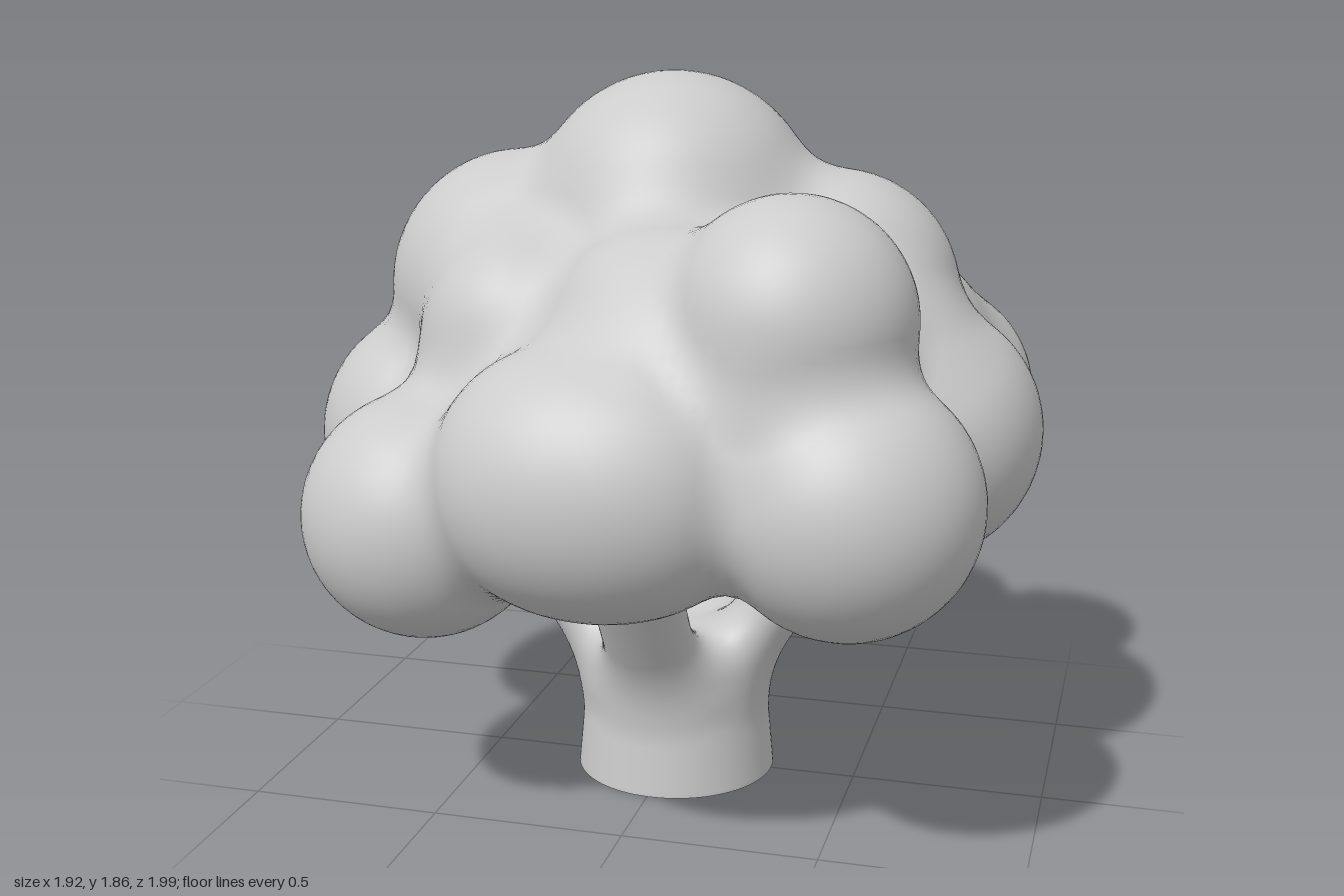
import * as THREE from 'three';

// Foliage lobes: [x, y, z, radius]
const LOBES = [
  // core
  [0, 1.2, 0, 0.45],
  // lower ring: broad lobes on the axes are pairs, corner lobes are single
  [-0.08, 0.97, 0.66, 0.315], [0.08, 0.97, 0.66, 0.315],
  [0.57, 0.94, 0.6, 0.315],
  [0.63, 0.97, -0.07, 0.31], [0.63, 0.97, 0.07, 0.31],
  [0.58, 0.95, -0.54, 0.305],
  [-0.07, 0.95, -0.67, 0.315], [0.09, 0.95, -0.67, 0.315],
  [-0.51, 0.85, -0.53, 0.31],
  [-0.635, 0.9, -0.06, 0.305], [-0.635, 0.9, 0.05, 0.305],
  [-0.485, 0.815, 0.525, 0.305],
  // upper ring
  [0.42, 1.34, 0.52, 0.29],
  [0.41, 1.3, -0.06, 0.32],
  [0, 1.31, -0.48, 0.335],
  [-0.41, 1.3, -0.03, 0.35],
  [0.08, 1.24, 0.4, 0.29],
  // top dome
  [0, 1.49, -0.02, 0.37],
  // fill between the lower and upper rings
  [0.12, 1.15, 0.52, 0.25], [0.38, 1.12, 0.52, 0.28],
  [0.5, 1.15, 0.1, 0.26], [0.5, 1.12, -0.35, 0.27],
  [-0.43, 1.0, -0.43, 0.29], [0, 1.13, -0.55, 0.27],
];
// Soft fill in the inner corners
for (const x of [-1, 1]) {
  for (const z of [-1, 1]) {
    LOBES.push([0.33 * x, 1.0, 0.33 * z, 0.26], [0.3 * x, 1.24, 0.3 * z, 0.25]);
  }
}

// Smooth minimum: joins two distances with a fillet of width k
function blend(a, b, k) {
  const h = Math.max(k - Math.abs(a - b), 0) / k;
  return Math.min(a, b) - h * h * k * 0.25;
}

function crownDistance(x, y, z) {
  let d = 10;
  for (const [cx, cy, cz, r] of LOBES) {
    d = blend(d, Math.hypot(x - cx, y - cy, z - cz) - r, 0.1);
  }
  return d;
}

// Branch leaning outward along +x, wider sideways than it is deep
function branchDistance(u, y, w) {
  const ax = 0.15, ay = 0.28, dx = 0.37, dy = 0.56;
  const t = THREE.MathUtils.clamp(((u - ax) * dx + (y - ay) * dy) / (dx * dx + dy * dy), 0, 1);
  return Math.hypot(u - ax - dx * t, y - ay - dy * t, w * 0.75) - 0.089;
}

// Flared stem forking into four branches
function trunkDistance(x, y, z) {
  const side = Math.hypot(x - 0.01, z) - (0.265 - 0.09 * Math.max(y, 0));
  let d = -blend(-side, 0.4 - y, 0.1);
  for (const [u, w] of [[x, z], [-x, z], [z, x], [-z, x]]) {
    d = blend(d, branchDistance(u, y, w), 0.09);
  }
  return d;
}

// Skins a distance function: one vertex per crossed grid cell, one quad per crossed grid edge
function skin(distance, min, max, step) {
  const n = min.map((m, i) => Math.ceil((max[i] - m) / step) + 1);
  const stride = [1, n[0], n[0] * n[1]];
  const at = (i, j, k) => i + j * stride[1] + k * stride[2];
  const value = new Float32Array(n[0] * n[1] * n[2]);
  const cell = new Int32Array(value.length).fill(-1);
  const each = (fn) => {
    for (let k = 0; k < n[2]; k++) for (let j = 0; j < n[1]; j++) for (let i = 0; i < n[0]; i++) fn(i, j, k);
  };
  each((i, j, k) => {
    value[at(i, j, k)] = distance(min[0] + i * step, min[1] + j * step, min[2] + k * step);
  });

  const points = [];
  const normals = [];
  each((i, j, k) => {
    if (i === n[0] - 1 || j === n[1] - 1 || k === n[2] - 1) return;
    const sum = [0, 0, 0];
    let count = 0;
    for (let corner = 0; corner < 8; corner++) {
      const o = [corner & 1, (corner >> 1) & 1, corner >> 2];
      const v0 = value[at(i + o[0], j + o[1], k + o[2])];
      for (let a = 0; a < 3; a++) {
        if (o[a]) continue;
        const v1 = value[at(i + o[0], j + o[1], k + o[2]) + stride[a]];
        if (v0 < 0 === v1 < 0) continue;
        for (let c = 0; c < 3; c++) sum[c] += o[c] + (c === a ? v0 / (v0 - v1) : 0);
        count++;
      }
    }
    if (!count) return;
    cell[at(i, j, k)] = points.length / 3;
    const p = [i, j, k].map((g, c) => min[c] + (g + sum[c] / count) * step);
    // settle the vertex on the true surface along its slope
    const d = distance(...p);
    const slope = new THREE.Vector3(
      distance(p[0] + 1e-3, p[1], p[2]) - d,
      distance(p[0], p[1] + 1e-3, p[2]) - d,
      distance(p[0], p[1], p[2] + 1e-3) - d,
    ).normalize().toArray();
    points.push(...p.map((v, c) => v - slope[c] * d));
    normals.push(...slope);
  });

  const index = [];
  each((i, j, k) => {
    const g = [i, j, k];
    const p = at(i, j, k);
    for (let a = 0; a < 3; a++) {
      const b = (a + 1) % 3;
      const c = (a + 2) % 3;
      if (g[a] === n[a] - 1 || !g[b] || !g[c]) continue;
      const inside = value[p] < 0;
      if (inside === value[p + stride[a]] < 0) continue;
      const q = [p - stride[b] - stride[c], p - stride[c], p, p - stride[b]].map((s) => cell[s]);
      if (q.includes(-1)) continue;
      if (!inside) q.reverse();
      index.push(q[0], q[1], q[2], q[0], q[2], q[3]);
    }
  });

  const geo = new THREE.BufferGeometry();
  geo.setAttribute('position', new THREE.Float32BufferAttribute(points, 3));
  geo.setAttribute('normal', new THREE.Float32BufferAttribute(normals, 3));
  geo.setIndex(index);
  return geo;
}

export function createModel() {
  const group = new THREE.Group();
  const material = new THREE.MeshStandardMaterial({ color: 0xcccccc });
  const add = (name, geo) => {
    const mesh = new THREE.Mesh(geo, material);
    mesh.name = name;
    group.add(mesh);
    return mesh;
  };

  add('crown', skin(crownDistance, [-1.08, 0.42, -1.08], [1.08, 1.95, 1.08], 0.03));

  // Stem and branches, cut flat at the ground
  const trunk = skin(trunkDistance, [-0.7, -0.06, -0.7], [0.7, 1, 0.7], 0.02);
  const pos = trunk.attributes.position;
  for (let i = 0; i < pos.count; i++) pos.setY(i, Math.max(pos.getY(i), 0));
  add('stemAndBranches', trunk);

  const base = add('stemBase', new THREE.CircleGeometry(0.265, 32));
  base.rotation.x = Math.PI / 2;
  base.position.x = 0.01;
  return group;
}
